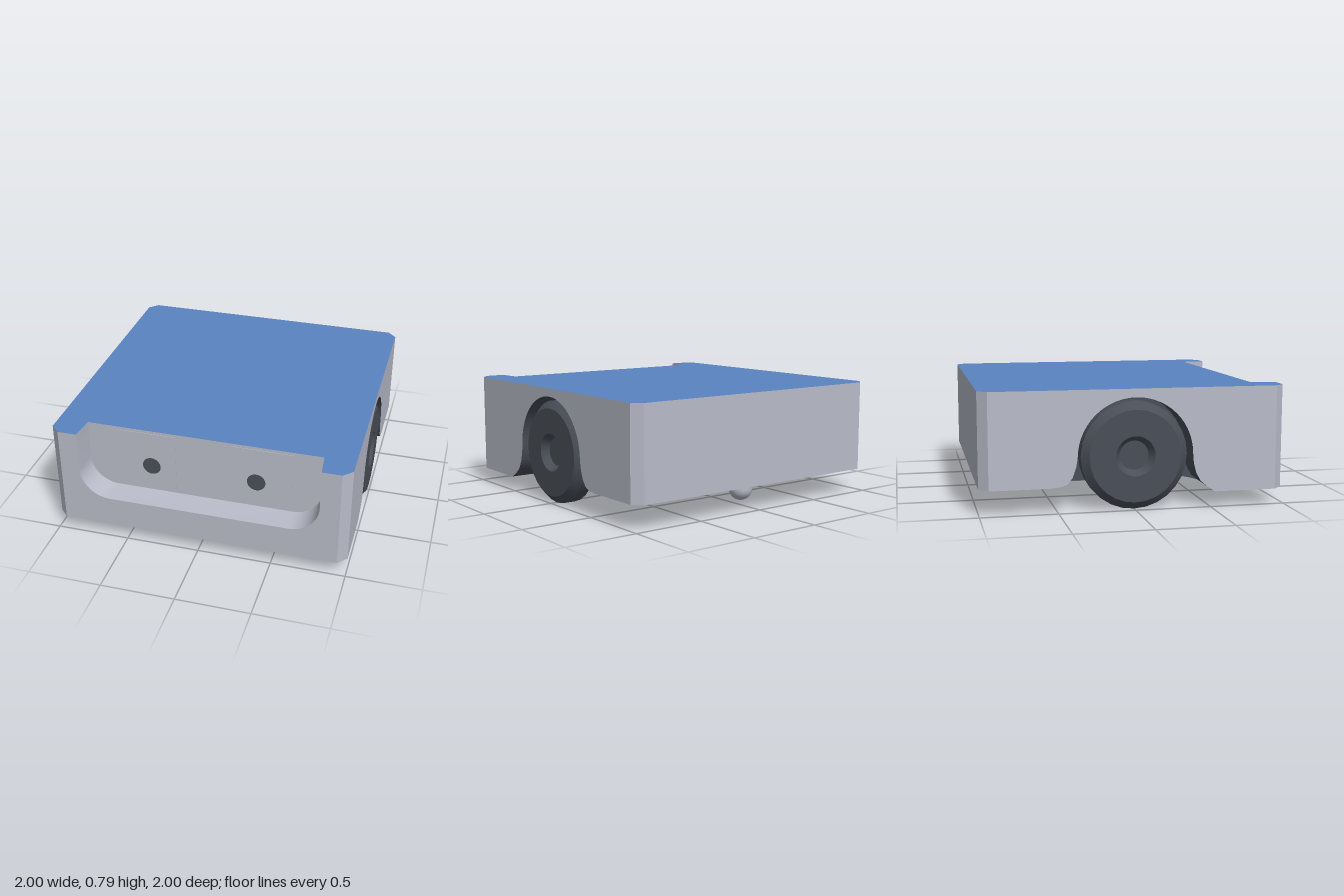
import * as THREE from 'three';
import { toCreasedNormals } from 'three/addons/utils/BufferGeometryUtils.js';

const TOP = 0.79, LOW = 0.105, FLOOR = 0.17, C = 0.94, WELL = 0.78, RECESS_Z = 0.835;

export function createModel() {
  const group = new THREE.Group();
  const paint = (name, color) => Object.assign(
    new THREE.MeshStandardMaterial({ color, side: THREE.DoubleSide }), { name });
  const blue = paint('blue lid', 0x5a84c0);
  const grey = paint('light grey shell', 0xb9bcc9);
  const dark = paint('dark rubber', 0x4a4f58);

  function add(name, geometry, material) {
    const mesh = new THREE.Mesh(geometry, material);
    mesh.name = name;
    group.add(mesh);
    return mesh;
  }
  // Flat panel from an outline of [u, v] pairs
  const panel = (pts) => new THREE.ShapeGeometry(new THREE.Shape(pts.map(([u, v]) => new THREE.Vector2(u, v))));
  // Ruled strip between two equally long 3D paths
  function strip(a, b) {
    const n = a.length, index = [];
    for (let i = 0; i < n - 1; i++) index.push(i, i + 1, n + i + 1, i, n + i + 1, n + i);
    const g = new THREE.BufferGeometry();
    g.setAttribute('position', new THREE.Float32BufferAttribute([...a, ...b].flat(), 3));
    g.setIndex(index);
    return toCreasedNormals(g, 0.45);
  }
  // Strip along a [z, y] profile from x0 to x1
  const across = (profile, x0, x1) => strip(
    profile.map(([z, y]) => [x0, y, z]), profile.map(([z, y]) => [x1, y, z]));

  // U-shaped outline of the front recess, from left top to right top
  function uPath(w, bottom, r) {
    const pts = [[-w, TOP]];
    for (const [cx, start] of [[-w + r, Math.PI], [w - r, 1.5 * Math.PI]]) {
      for (let i = 0; i <= 12; i++) {
        const t = start + (i / 12) * Math.PI / 2;
        pts.push([cx + r * Math.cos(t), bottom + r + r * Math.sin(t)]);
      }
    }
    pts.push([w, TOP]);
    return pts;
  }
  const uFront = uPath(0.81, 0.315, 0.2), uBack = uPath(0.795, 0.33, 0.19);

  // Lid, notched over the recess
  add('lid', panel([
    [-C, -1], [-0.81, -1], [-0.795, -RECESS_Z], [0.795, -RECESS_Z], [0.81, -1], [C, -1],
    [1, -C], [1, C], [C, 1], [-C, 1], [-1, C], [-1, -C],
  ]).rotateX(-Math.PI / 2).translate(0, TOP, 0), blue);

  // Front wall and its recess
  add('frontWall', panel([[-C, LOW], [C, LOW], [C, TOP], ...[...uFront].reverse(), [-C, TOP]])
    .translate(0, 0, 1), grey);
  add('recessRim', strip(uFront.map(([x, y]) => [x, y, 1]), uBack.map(([x, y]) => [x, y, RECESS_Z])), grey);
  add('recessBack', panel(uBack).translate(0, 0, RECESS_Z), grey);

  // Back wall and corner chamfers
  const upright = (p, q, y) => strip(
    [[p[0], y, p[1]], [p[0], TOP, p[1]]], [[q[0], y, q[1]], [q[0], TOP, q[1]]]);
  add('backWall', upright([-C, -1], [C, -1], FLOOR), grey);
  const ring = [[1, C], [C, 1], [-C, 1], [-1, C], [-1, -C], [-C, -1], [C, -1], [1, -C]];
  for (let i = 0; i < 8; i += 2) {
    add('cornerChamfer', upright(ring[i], ring[i + 1], i < 4 ? LOW : FLOOR), grey);
  }

  // Wheel arch profile as [z, y], front to back
  const arch = [[0.47, 0.145], [0.43, 0.18], [0.4, 0.235], [0.383, 0.3]];
  for (let i = 0; i <= 28; i++) {
    const t = (i / 28) * Math.PI;
    arch.push([0.378 * Math.cos(t), 0.357 + 0.378 * Math.sin(t)]);
  }
  arch.push([-0.387, 0.3], [-0.41, 0.235], [-0.44, 0.195], [-0.48, 0.178], [-0.55, FLOOR]);

  // Underside
  add('frontUnderside', panel([[-1, 0.53], [1, 0.53], [1, C], [C, 1], [-C, 1], [-1, C]])
    .rotateX(Math.PI / 2).translate(0, LOW, 0), dark);
  add('undersideStep', across([[0.53, LOW], [0.47, 0.145]], -1, 1), dark);
  add('middleUnderside', across([[0.47, 0.145], [0.37, FLOOR], [-0.55, FLOOR]], -WELL, WELL), dark);
  add('backUnderside', panel([[-1, -0.55], [1, -0.55], [1, -C], [C, -1], [-C, -1], [-1, -C]])
    .rotateX(Math.PI / 2).translate(0, FLOOR, 0), dark);

  // Wheel: rounded tread, flat face and dished hub
  const wheelProfile = [[0, 0.815], [0.3, 0.815], [0.35, 0.86], [0.35, 0.95], [0.3, 0.995],
    [0.13, 0.995], [0.095, 0.945], [0, 0.945]].map(([r, h]) => new THREE.Vector2(r, h));

  for (const s of [1, -1]) {
    const side = s > 0 ? 'left' : 'right';
    const sidePanel = (pts) => panel(pts.map(([z, y]) => [-s * z, y])).rotateY(s * Math.PI / 2);
    add(side + 'Wall', sidePanel([[C, TOP], [C, LOW], [0.53, LOW], ...arch, [-C, FLOOR], [-C, TOP]])
      .translate(s, 0, 0), grey);
    add(side + 'WellWall', sidePanel([...arch, [0.37, FLOOR]]).translate(s * WELL, 0, 0), dark);
    add(side + 'WellCeiling', s > 0 ? across(arch, WELL, 1) : across(arch, -1, -WELL), dark);

    const wheel = toCreasedNormals(new THREE.LatheGeometry(wheelProfile, 28), 0.35);
    add(side + 'Wheel', wheel.rotateZ(-s * Math.PI / 2).translate(0, 0.355, 0), dark);
    const axle = new THREE.CylinderGeometry(0.06, 0.06, 0.06, 16).rotateZ(Math.PI / 2);
    add(side + 'Axle', axle.translate(s * 0.795, 0.355, 0), dark);

    // Sensor plate with a round eye on the recess back
    add(side + 'SensorPlate', new THREE.BoxGeometry(0.41, 0.42, 0.004)
      .translate(s * 0.395, 0.56, RECESS_Z + 0.002), grey);
    add(side + 'SensorEye', new THREE.CircleGeometry(0.062, 32)
      .translate(s * 0.358, 0.522, RECESS_Z + 0.007), dark);
  }

  // Rear skid: short post with a round tip
  const skid = [];
  for (let i = 0; i <= 8; i++) {
    const t = (i / 8) * Math.PI / 2;
    skid.push(new THREE.Vector2(0.08 * Math.sin(t), 0.12 - 0.08 * Math.cos(t)));
  }
  skid.push(new THREE.Vector2(0.08, FLOOR));
  add('rearSkid', new THREE.LatheGeometry(skid, 24).translate(0, 0, -0.805), grey);

  return group;
}
